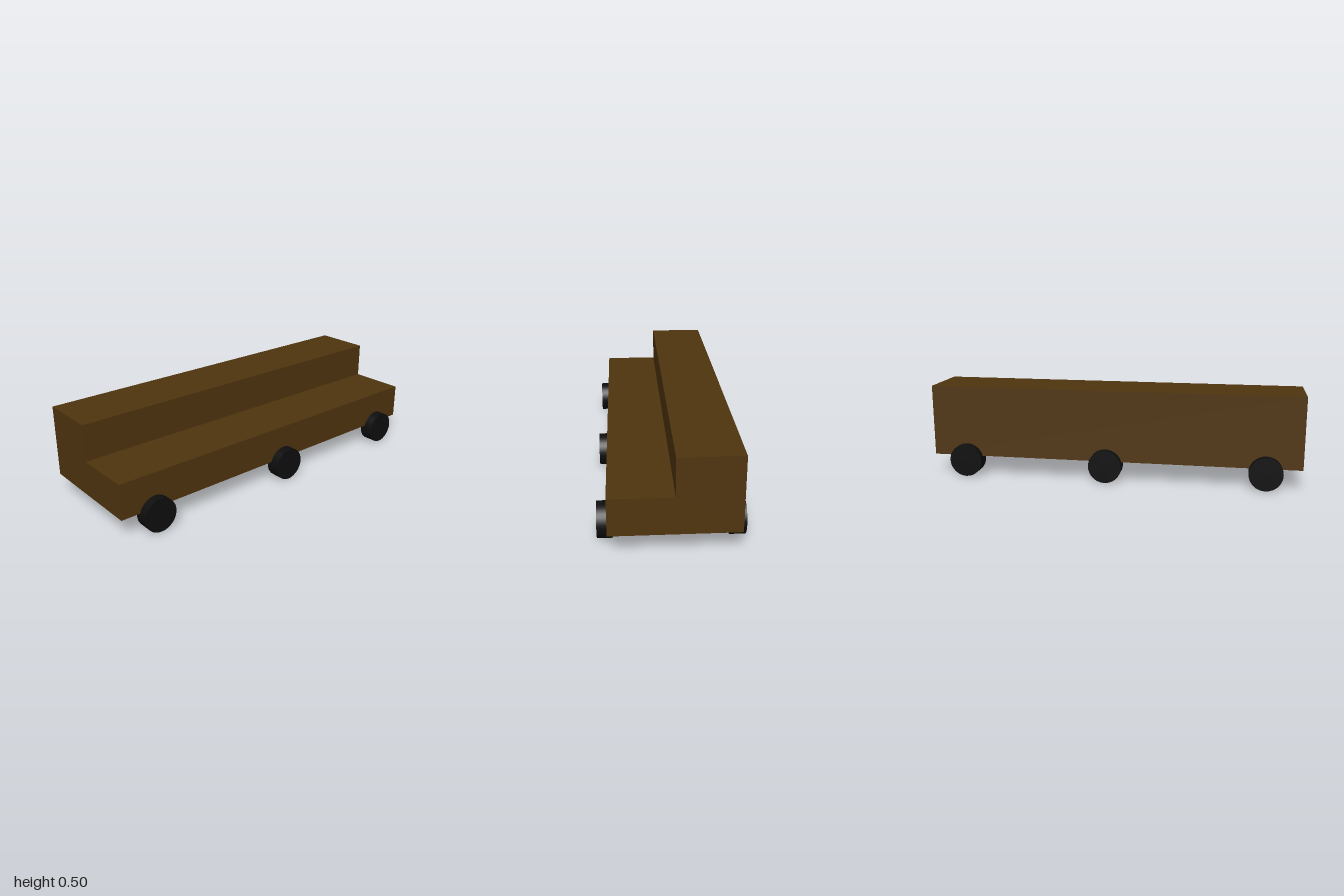
import * as THREE from 'three';

export function createModel() {
  const model = new THREE.Group();

  const brown = new THREE.MeshStandardMaterial({ color: 0x50350f });
  brown.name = 'brown wood';
  const black = new THREE.MeshStandardMaterial({ color: 0x0e0e0e });
  black.name = 'black rubber';

  // Stepped body: an L-shaped section, tall on the right, run along z
  const section = new THREE.Shape([
    [-0.319, 0.11], [0.303, 0.11], [0.303, 0.3],
    [-0.007, 0.3], [-0.007, 0.495], [-0.319, 0.495],
  ].map(([x, y]) => new THREE.Vector2(x, y)));
  const bodyGeometry = new THREE.ExtrudeGeometry(section, { depth: 2, bevelEnabled: false });
  bodyGeometry.translate(0, 0, -1);
  const body = new THREE.Mesh(bodyGeometry, brown);
  body.name = 'body';
  model.add(body);

  // Three pairs of wheels, partly sunk into the body sides
  const radius = 0.089;
  const wheelGeometry = new THREE.CylinderGeometry(radius, radius, 0.076, 32);
  wheelGeometry.rotateZ(Math.PI / 2);
  const axles = { front: 0.811, middle: -0.036, rear: -0.813 };
  for (const [place, z] of Object.entries(axles)) {
    for (const side of [1, -1]) {
      const wheel = new THREE.Mesh(wheelGeometry, black);
      wheel.name = place + (side > 0 ? 'LeftWheel' : 'RightWheel');
      wheel.position.set(side * 0.315, radius, z);
      model.add(wheel);
    }
  }

  return model;
}
